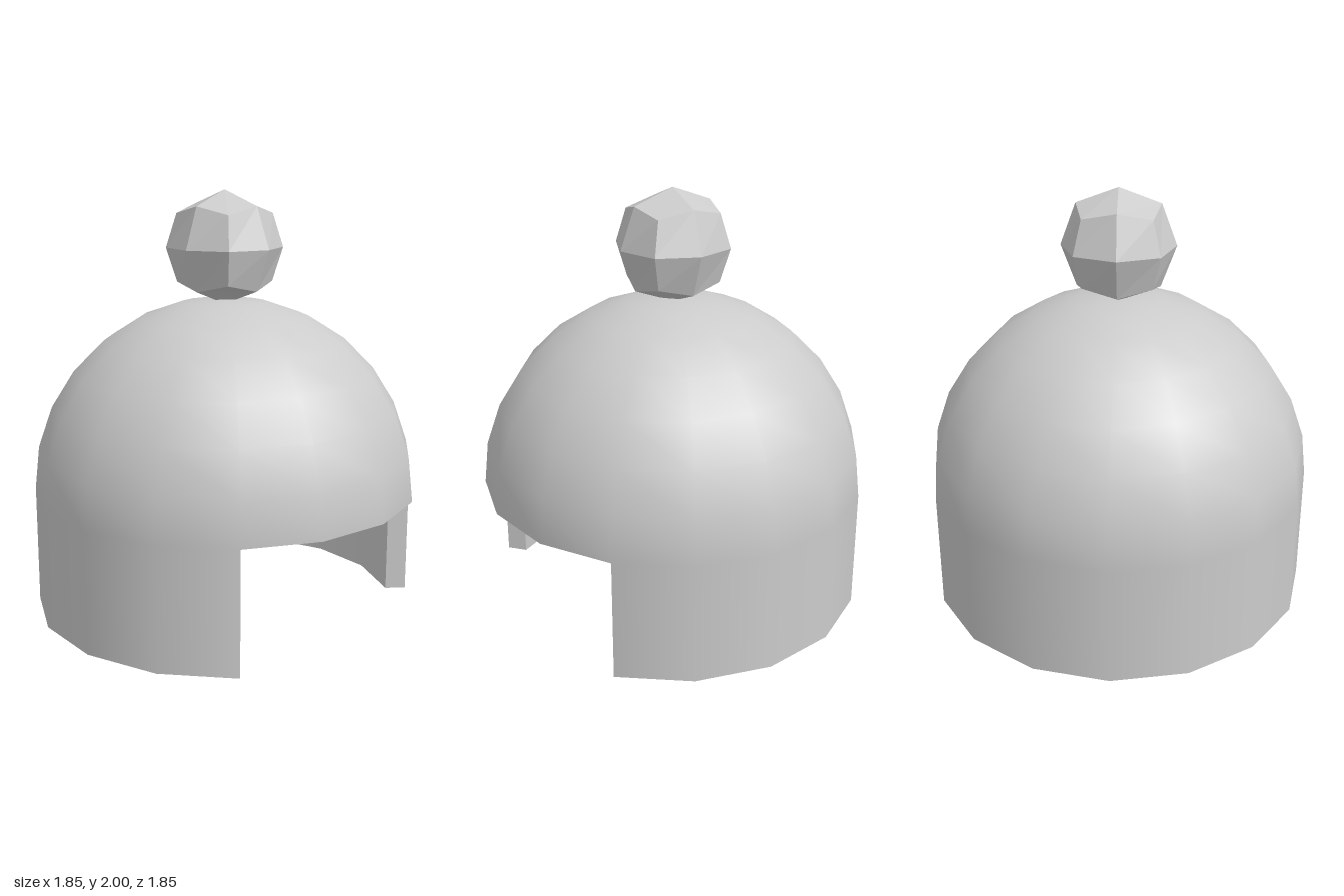
import * as THREE from 'three';

const R = 0.923, INNER = 0.823, BASE = 0.575; // outer radius, inner radius, dome base height
const BALL = 0.267;

export function createModel() {
  const group = new THREE.Group();
  const smooth = new THREE.MeshStandardMaterial({ color: 0xcccccc });
  const flat = new THREE.MeshStandardMaterial({ color: 0xcccccc, flatShading: true });

  const add = (name, geometry, material = smooth, parent = group) => {
    const mesh = new THREE.Mesh(geometry, material);
    mesh.name = name;
    parent.add(mesh);
    return mesh;
  };

  // Hemispherical crown with a flat underside
  add('dome', new THREE.SphereGeometry(R, 16, 7, 0, Math.PI * 2, 0, Math.PI / 2)).position.y = BASE;
  const ceiling = add('domeUnderside', new THREE.CircleGeometry(R, 16));
  ceiling.rotation.x = Math.PI / 2;
  ceiling.position.y = BASE;

  // Thick wall around three quarters of the circle, open at the front
  const wall = new THREE.Group();
  wall.name = 'wall';
  group.add(wall);
  const sweep = (name, a, b) => add(name, new THREE.LatheGeometry(
    [new THREE.Vector2(...a), new THREE.Vector2(...b)], 12, Math.PI / 4, Math.PI * 1.5), smooth, wall);
  sweep('wallOuter', [R, 0], [R, BASE]);
  sweep('wallInner', [INNER, BASE], [INNER, 0]);
  sweep('wallRim', [INNER, 0], [R, 0]);

  // End faces on both sides of the opening
  for (const side of [1, -1]) {
    const end = add(side > 0 ? 'wallEndLeft' : 'wallEndRight',
      new THREE.PlaneGeometry(R - INNER, BASE), smooth, wall);
    const mid = (R + INNER) / 2 * Math.SQRT1_2;
    end.position.set(side * mid, BASE / 2, mid);
    end.rotation.y = -side * Math.PI / 4;
  }

  // Faceted pompom: a 2x2x2 box rounded towards a sphere
  const ball = new THREE.BoxGeometry(2, 2, 2, 2, 2, 2);
  const p = ball.attributes.position, v = new THREE.Vector3();
  for (let i = 0; i < p.count; i++) {
    v.fromBufferAttribute(p, i);
    const onAxis = v.lengthSq() < 1.5;
    v.setLength(onAxis ? BALL : 0.276);
    p.setXYZ(i, v.x, v.y, v.z);
  }
  ball.computeVertexNormals();
  add('pompom', ball, flat).position.y = 2 - BALL;

  return group;
}
